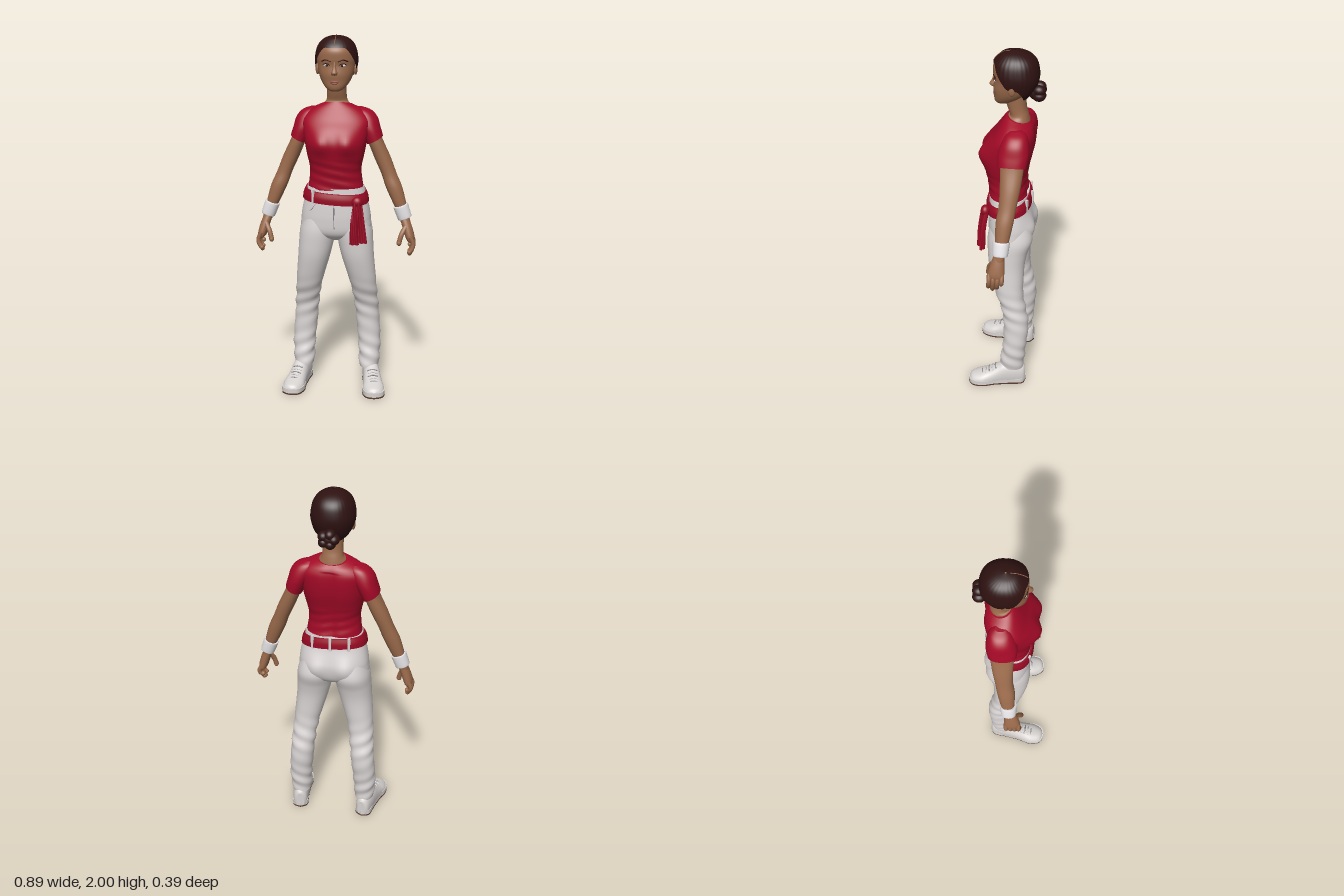
import * as THREE from 'three';

const mat = (name, color, side = THREE.FrontSide) => {
  const m = new THREE.MeshStandardMaterial({ color, side });
  m.name = name;
  return m;
};

// Row of a loft, top to bottom: [y, centre x, half width, front z, back z, roundness, tilt over z, tilt over x]
const DEFAULTS = [0, 0, 0, 0, 0, 2.2, 0, 0];
function section(rows, p) {
  const i = Math.min(Math.floor(p), rows.length - 2), t = p - i;
  const r = k => rows[Math.max(0, Math.min(rows.length - 1, k))];
  return DEFAULTS.map((d, c) => {
    const [a, b, e, f] = [i - 1, i, i + 1, i + 2].map(k => r(k)[c] ?? d);
    return b + 0.5 * t * (e - a + t * (2 * a - 5 * b + 4 * e - f + t * (3 * (b - e) + f - a)));
  });
}

// Smooth skin over superellipse sections; end(a) may stop each column early
function loft(rows, { seg = 40, sub = 6, cap = true, end, shape } = {}) {
  const n = (rows.length - 1) * sub, pos = [], idx = [], v = new THREE.Vector3();
  for (let i = 0; i <= n; i++) for (let j = 0; j < seg; j++) {
    let a = j / seg * Math.PI * 2;
    if (a > Math.PI) a -= Math.PI * 2;
    const [y, cx, rx, zf, zb, e, tz, tx] = section(rows, i / n * (end ? end(a) : rows.length - 1));
    const s = Math.sin(a), c = Math.cos(a);
    const dx = Math.max(rx, 0.0005) * Math.sign(s) * Math.abs(s) ** (2 / e);
    const dz = (zf - zb) / 2 * Math.sign(c) * Math.abs(c) ** (2 / e);
    v.set(cx + dx, y + tz * dz + tx * dx, (zf + zb) / 2 + dz);
    if (shape) shape(v, a);
    pos.push(v.x, v.y, v.z);
  }
  for (let i = 0; i < n; i++) for (let j = 0; j < seg; j++) {
    const k = (j + 1) % seg, A = i * seg + j, B = i * seg + k;
    idx.push(A, A + seg, B + seg, A, B + seg, B);
  }
  if (cap) for (const row of [0, n]) {
    const base = pos.length / 3, mid = [0, 0, 0];
    for (let j = 0; j < seg; j++) for (let c = 0; c < 3; c++) {
      const q = pos[(row * seg + j) * 3 + c];
      pos.push(q);
      mid[c] += q / seg;
    }
    pos.push(...mid);
    for (let j = 0; j < seg; j++) {
      const k = (j + 1) % seg;
      idx.push(base + seg, base + (row ? k : j), base + (row ? j : k));
    }
  }
  const g = new THREE.BufferGeometry();
  g.setAttribute('position', new THREE.Float32BufferAttribute(pos, 3));
  g.setIndex(idx);
  g.computeVertexNormals();
  return g;
}

const tube = (pts, r, n = 16) => new THREE.TubeGeometry(
  new THREE.CatmullRomCurve3(pts.map(p => new THREE.Vector3(...p))), n, r, 8);
const ball = (x, y, z, sx, sy, sz) => new THREE.SphereGeometry(1, 24, 16).scale(sx, sy, sz).translate(x, y, z);
const bump = (v, x, y, sx, sy) => Math.exp(-(((Math.abs(v.x) - x) / sx) ** 2) - ((v.y - y) / sy) ** 2);

export function createModel() {
  const skin = mat('skin', 0x9a6a4b), hair = mat('dark hair', 0x2e1211, THREE.DoubleSide);
  const red = mat('red shirt', 0xa30a27), sashRed = mat('sash red', 0x980a24);
  const white = mat('white trousers', 0xdad4d4), shoeWhite = mat('shoe white', 0xd6d2d0);
  const sole = mat('brown sole', 0x5c3d30), lip = mat('lips', 0x8a4a40);
  const bright = mat('bright white', 0xe6e4e6), seam = mat('grey seam', 0x98949a);

  const model = new THREE.Group();
  model.name = 'standingWoman';
  const add = (parent, name, geo, m) => {
    const mesh = new THREE.Mesh(geo, m);
    mesh.name = name;
    parent.add(mesh);
    return mesh;
  };

  // Shirt body
  add(model, 'shirt', loft([
    [1.63, 0, 0.08, 0.01, -0.12, 2, 0.25], [1.6, 0, 0.145, 0.035, -0.135, 2.2, 0.1],
    [1.555, 0, 0.185, 0.07, -0.145, 2.4], [1.5, 0, 0.18, 0.108, -0.145, 2.5],
    [1.43, 0, 0.168, 0.13, -0.135, 2.6], [1.36, 0, 0.155, 0.125, -0.117, 2.5],
    [1.29, 0, 0.141, 0.113, -0.105, 2.3], [1.23, 0, 0.144, 0.104, -0.105, 2.3], [1.175, 0, 0.153, 0.1, -0.112, 2.4],
  ], {
    seg: 64, shape: (v, a) => {
      if (Math.cos(a) > 0) v.z += 0.028 * bump(v, 0.075, 1.435, 0.06, 0.06) * Math.cos(a);
      else v.z += 0.012 * Math.exp(-((v.x / 0.03) ** 2)) * (v.y < 1.58 ? 1 : 0.3);
      if (v.y < 1.34) v.z += 0.002 * Math.sin(v.y * 120 + v.x * 25);
    },
  }), red);

  // Trousers: hips with fly and sash loops
  add(model, 'hips', loft([
    [1.185, 0, 0.156, 0.1, -0.113, 2.4], [1.12, 0, 0.172, 0.103, -0.118, 2.4], [1.05, 0, 0.187, 0.106, -0.132, 2.4],
    [1, 0, 0.193, 0.106, -0.138, 2.4], [0.94, 0, 0.192, 0.1, -0.13, 2.4], [0.905, 0, 0.14, 0.08, -0.11], [0.88, 0, 0.05, 0.04, -0.07],
  ], { seg: 64, shape: (v, a) => { if (Math.cos(a) < 0) v.z -= 0.024 * bump(v, 0.085, 0.99, 0.06, 0.07); } }), white);
  add(model, 'fly', tube([[0, 1.1, 0.103], [0, 1.04, 0.106], [0, 0.96, 0.103]], 0.003), seam);

  // Sash with knot and two tails
  add(model, 'sash', loft([
    [1.168, 0, 0.166, 0.111, -0.121, 2.4, -0.1, -0.06], [1.14, 0, 0.178, 0.118, -0.129, 2.4, -0.1, -0.06],
    [1.11, 0, 0.182, 0.117, -0.131, 2.4, -0.1, -0.06],
  ], { seg: 64 }), sashRed);
  add(model, 'sashKnot', ball(0.127, 1.118, 0.108, 0.03, 0.03, 0.025), sashRed);
  const flutter = v => { v.z += 0.006 * Math.sin(v.x * 260 + v.y * 20); };
  add(model, 'sashTailInner', loft([[1.12, 0.125, 0.018, 0.128, 0.1], [1, 0.114, 0.021, 0.146, 0.128], [0.888, 0.115, 0.026, 0.152, 0.136]],
    { shape: flutter }), sashRed);
  add(model, 'sashTailOuter', loft([[1.12, 0.135, 0.018, 0.124, 0.09], [1, 0.151, 0.02, 0.126, 0.108], [0.892, 0.16, 0.025, 0.132, 0.112]],
    { shape: flutter }), sashRed);
  for (const [x, y, z, turn] of [[-0.115, 1.14, 0.094, -0.5], [-0.1, 1.15, -0.113, 0.4], [0.1, 1.147, -0.113, -0.4], [0, 1.15, -0.13, 0]]) {
    const loop = add(model, 'sashLoop', new THREE.BoxGeometry(0.014, 0.075, 0.012), white);
    loop.position.set(x, y, z);
    loop.rotation.y = turn;
  }

  // Neck and head
  add(model, 'neck', loft([
    [1.76, 0, 0.055, 0.025, -0.09], [1.69, 0, 0.053, 0.005, -0.095], [1.65, 0, 0.057, -0.008, -0.105],
    [1.625, 0, 0.073, 0.003, -0.114, 2, 0.25], [1.57, 0, 0.09, 0.02, -0.12],
  ]), skin);
  add(model, 'head', loft([
    [1.985, 0, 0.03, 0, -0.07], [1.96, 0, 0.073, 0.046, -0.11], [1.925, 0, 0.096, 0.076, -0.138], [1.88, 0, 0.104, 0.078, -0.145],
    [1.845, 0, 0.102, 0.073, -0.14], [1.8, 0, 0.093, 0.078, -0.12], [1.765, 0, 0.08, 0.075, -0.09],
    [1.735, 0, 0.06, 0.074, -0.05], [1.717, 0, 0.04, 0.068, -0.01], [1.708, 0, 0.02, 0.055, 0.02],
  ], { seg: 56 }), skin);
  add(model, 'nose', loft([
    [1.868, 0, 0.007, 0.077, 0.05], [1.835, 0, 0.01, 0.086, 0.05], [1.81, 0, 0.017, 0.1, 0.05], [1.797, 0, 0.014, 0.088, 0.05],
  ], { seg: 24 }), skin);
  add(model, 'upperLip', ball(0, 1.763, 0.071, 0.025, 0.005, 0.009), lip);
  add(model, 'lowerLip', ball(0, 1.754, 0.07, 0.021, 0.006, 0.01), lip);

  // Hair drawn back from the hairline into a bun, with a centre parting
  const { smoothstep } = THREE.MathUtils;
  add(model, 'hair', loft([
    [1.998, 0, 0.004, -0.028, -0.036], [1.99, 0, 0.046, 0.02, -0.082], [1.97, 0, 0.08, 0.051, -0.122],
    [1.94, 0, 0.101, 0.077, -0.147], [1.9, 0, 0.112, 0.087, -0.158], [1.86, 0, 0.115, 0.085, -0.16],
    [1.82, 0, 0.109, 0.083, -0.15], [1.78, 0, 0.098, 0.075, -0.128], [1.745, 0, 0.075, 0.05, -0.1],
  ], {
    seg: 120, sub: 5, cap: false,
    end: a => 3 + 3 * smoothstep(Math.abs(a), 0.45, 1.5) + 2 * smoothstep(Math.abs(a), 1.6, 2.6),
    shape: (v, a) => { v.x *= 1 + 0.007 * Math.cos(30 * a); },
  }), hair);
  add(model, 'parting', tube([[0, 1.95, 0.072], [0, 1.972, 0.051], [0, 1.989, 0.021], [0, 1.996, -0.01]], 0.002), skin);
  const bun = new THREE.Group();
  bun.name = 'hairBun';
  model.add(bun);
  add(bun, 'bunCore', ball(0, 1.78, -0.145, 0.046, 0.045, 0.045), hair);
  for (let i = 0; i < 5; i++) {
    const t = i / 5 * Math.PI * 2 + 0.6;
    add(bun, 'bunCoil', ball(0.03 * Math.cos(t), 1.78 + 0.027 * Math.sin(t), -0.16, 0.029, 0.028, 0.034), hair);
  }

  // Everything that comes in pairs
  for (const side of [1, -1]) {
    const half = new THREE.Group();
    half.name = side > 0 ? 'leftSide' : 'rightSide';
    half.scale.x = side;
    model.add(half);

    // Eye, brow and ear
    add(half, 'eye', ball(0.042, 1.848, 0.061, 0.017, 0.008, 0.009), bright);
    add(half, 'iris', ball(0.041, 1.848, 0.066, 0.007, 0.007, 0.006), hair);
    add(half, 'lashes', tube([[0.023, 1.849, 0.07], [0.042, 1.858, 0.069], [0.062, 1.851, 0.057]], 0.0025), hair);
    add(half, 'eyebrow', tube([[0.018, 1.868, 0.075], [0.045, 1.877, 0.07], [0.07, 1.868, 0.055]], 0.003), hair);
    add(half, 'ear', ball(0.102, 1.82, -0.03, 0.011, 0.032, 0.02), skin);

    // Sleeve and arm
    add(half, 'sleeve', loft([
      [1.61, 0.125, 0.02, -0.03, -0.085], [1.592, 0.14, 0.05, -0.005, -0.112], [1.555, 0.158, 0.064, 0.015, -0.127],
      [1.5, 0.182, 0.057, 0.028, -0.132], [1.435, 0.209, 0.043, 0.025, -0.122, 2.2, 0, 0.5],
    ]), red);
    add(half, 'arm', loft([
      [1.5, 0.188, 0.04, 0.01, -0.115], [1.43, 0.212, 0.042, 0.012, -0.11], [1.34, 0.251, 0.045, 0.008, -0.1],
      [1.25, 0.289, 0.042, 0.008, -0.085], [1.18, 0.317, 0.045, 0.018, -0.075], [1.1, 0.347, 0.038, 0.018, -0.06],
      [1.03, 0.373, 0.029, 0.014, -0.045], [0.98, 0.388, 0.027, 0.02, -0.035],
    ]), skin);
    add(half, 'wristband', loft([
      [1.077, 0.356, 0.036, 0.026, -0.058, 2.2, 0, 0.35], [1.07, 0.359, 0.039, 0.029, -0.061, 2.2, 0, 0.35],
      [1.012, 0.38, 0.037, 0.027, -0.055, 2.2, 0, 0.35], [1.005, 0.382, 0.033, 0.023, -0.051, 2.2, 0, 0.35],
    ]), bright);

    // Hand
    add(half, 'palm', loft([
      [1.01, 0.378, 0.025, 0.018, -0.036], [0.96, 0.396, 0.027, 0.036, -0.038], [0.91, 0.411, 0.026, 0.048, -0.04],
      [0.885, 0.416, 0.02, 0.045, -0.037], [0.875, 0.417, 0.01, 0.035, -0.028],
    ]), skin);
    [0.84, 0.812, 0.802, 0.815].forEach((tip, i) => {
      const z = -0.028 + i * 0.0225;
      add(half, 'finger', tube([[0.415, 0.91, z], [0.432, 0.87, z], [0.426, (tip + 0.87) / 2, z + 0.003], [0.413, tip + 0.01, z + 0.006]], 0.0125), skin);
      add(half, 'fingertip', ball(0.413, tip + 0.01, z + 0.006, 0.0125, 0.0125, 0.0125), skin);
    });
    add(half, 'thumb', tube([[0.39, 0.965, 0.022], [0.368, 0.925, 0.045], [0.355, 0.88, 0.054]], 0.0135), skin);
    add(half, 'thumbTip', ball(0.355, 0.878, 0.054, 0.0135, 0.016, 0.0135), skin);

    // Trouser leg, creased at the knee and ankle, and pocket edge
    add(half, 'trouserLeg', loft([
      [1.02, 0.098, 0.08, 0.088, -0.13], [0.94, 0.102, 0.099, 0.1, -0.148], [0.86, 0.111, 0.097, 0.098, -0.124],
      [0.78, 0.123, 0.09, 0.09, -0.109], [0.68, 0.142, 0.08, 0.068, -0.105], [0.6, 0.156, 0.072, 0.045, -0.106],
      [0.52, 0.166, 0.068, 0.016, -0.12], [0.44, 0.174, 0.066, 0.003, -0.137], [0.36, 0.18, 0.066, 0, -0.14],
      [0.28, 0.187, 0.064, 0.001, -0.131], [0.2, 0.19, 0.061, 0.01, -0.124], [0.14, 0.189, 0.058, 0.02, -0.118],
      [0.105, 0.189, 0.055, 0.022, -0.115],
    ], {
      seg: 48, shape: (v, a) => {
        const k = 0.004 * (Math.exp(-(((v.y - 0.5) / 0.1) ** 2)) + Math.exp(-(((v.y - 0.2) / 0.1) ** 2)));
        const w = k * Math.sin(v.y * 75 + a * 2);
        v.x += w * Math.sin(a);
        v.z += w * Math.cos(a);
      },
    }), white);
    add(half, 'pocketEdge', tube([[0.1, 1.1, 0.089], [0.13, 1.06, 0.08], [0.175, 1.045, 0.038]], 0.002), seam);

    // Shoe, turned slightly outward
    const shoe = new THREE.Group();
    shoe.name = 'shoe';
    shoe.position.set(0.213, 0, 0.032);
    shoe.rotation.y = 0.17;
    half.add(shoe);
    const edge = [[0.042, -0.14], [0.046, -0.06], [0.052, 0.02], [0.064, 0.09], [0.048, 0.15]];
    const outline = new THREE.Shape(new THREE.SplineCurve([[0, -0.165], ...edge, [0, 0.17],
      ...edge.map(([x, z]) => [-x, z]).reverse(), [0, -0.165]].map(p => new THREE.Vector2(...p))).getPoints(72).slice(0, -1));
    const plate = (top, depth) => new THREE.ExtrudeGeometry(outline, { depth, bevelEnabled: false }).rotateX(Math.PI / 2).translate(0, top, 0);
    add(shoe, 'sole', plate(0.009, 0.009), sole);
    add(shoe, 'midsole', plate(0.034, 0.025), shoeWhite);
    add(shoe, 'shoeUpper', loft([
      [0.163, 0, 0.02, 0.02, -0.036], [0.148, 0, 0.045, 0.02, -0.053], [0.1, 0, 0.061, 0.02, -0.069], [0.05, 0, 0.056, 0.02, -0.087],
      [0, 0, 0.051, 0.02, -0.114], [-0.04, 0, 0.049, 0.02, -0.135], [-0.1, 0, 0.046, 0.02, -0.135],
      [-0.145, 0, 0.038, 0.02, -0.12], [-0.161, 0, 0.022, 0.02, -0.1],
    ], { shape: v => { v.z = Math.min(v.z, -0.012); } }).rotateX(Math.PI / 2), shoeWhite);
    for (let i = 0; i < 5; i++) {
      const z = 0.01 + i * 0.019, top = 0.11 - i * 0.0092;
      add(shoe, 'lace', tube([[-0.029, top - 0.009, z], [0, top + 0.001, z + 0.004], [0.029, top - 0.009, z]], 0.0035), i % 2 ? shoeWhite : seam);
    }
  }
  return model;
}
